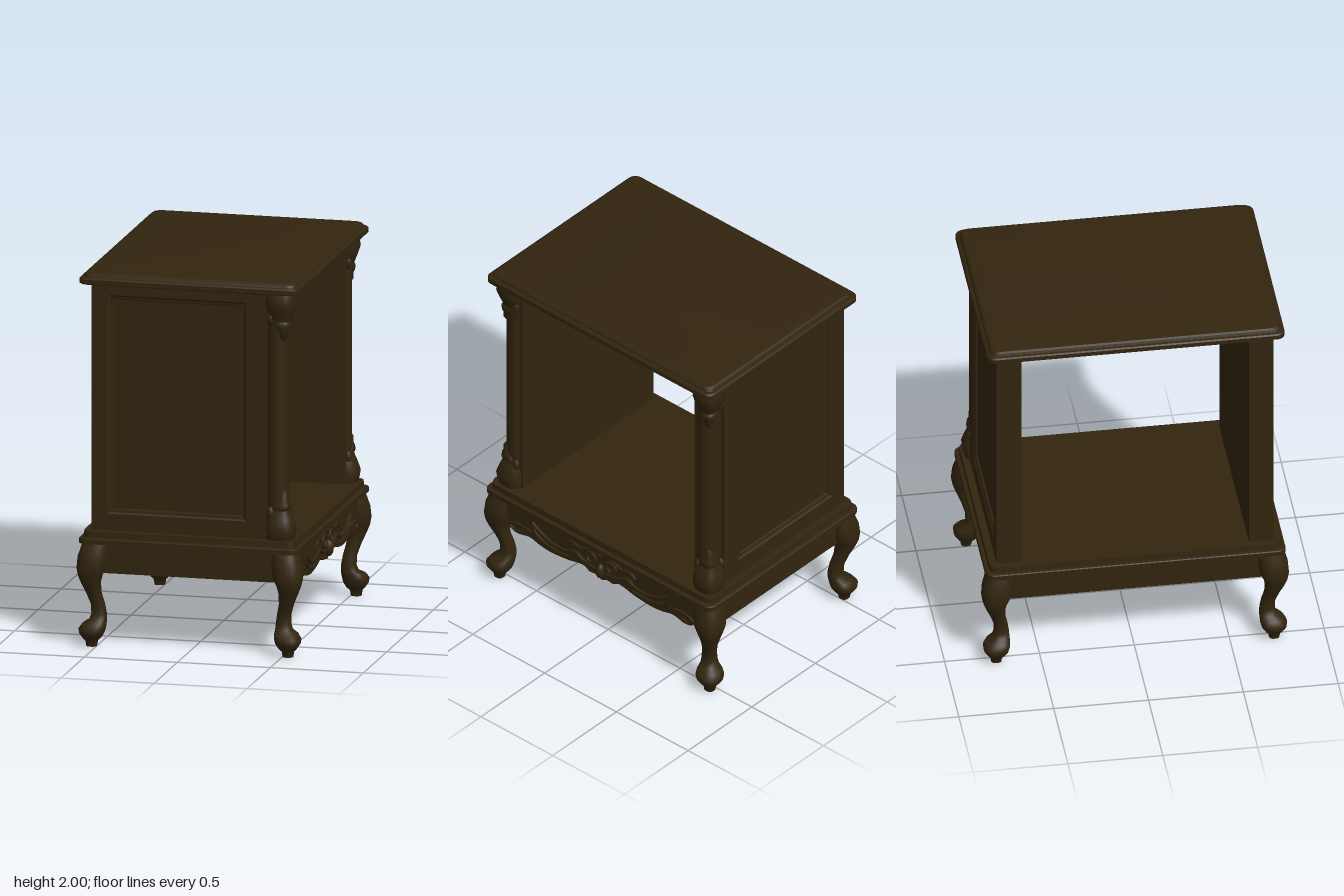
import * as THREE from 'three';
import { toCreasedNormals } from 'three/addons/utils/BufferGeometryUtils.js';

const wood = new THREE.MeshStandardMaterial({ color: 0x32250f });
wood.name = 'dark walnut';

function add(parent, name, geometry, x = 0, y = 0, z = 0) {
  const mesh = new THREE.Mesh(geometry, wood);
  mesh.name = name;
  mesh.position.set(x, y, z);
  parent.add(mesh);
  return mesh;
}

// Box given by its limits on each axis
function block(parent, name, x0, x1, y0, y1, z0, z1) {
  const g = new THREE.BoxGeometry(Math.abs(x1 - x0), y1 - y0, Math.abs(z1 - z0));
  return add(parent, name, g, (x0 + x1) / 2, (y0 + y1) / 2, (z0 + z1) / 2);
}

// Skin over a stack of rings, each a loop of [x, y, z]
function loft(rings, capped = true, crease = 0.7) {
  const n = rings[0].length, pos = rings.flat(2), index = [];
  for (let i = 0; i < rings.length - 1; i++) {
    for (let j = 0; j < n; j++) {
      const a = i * n + j, b = i * n + (j + 1) % n;
      index.push(a, b, b + n, a, b + n, a + n);
    }
  }
  if (capped) {
    const last = (rings.length - 1) * n;
    for (let j = 1; j < n - 1; j++) {
      index.push(0, j + 1, j, last, last + j, last + j + 1);
    }
  }
  const g = new THREE.BufferGeometry();
  g.setAttribute('position', new THREE.Float32BufferAttribute(pos, 3));
  g.setIndex(index);
  return toCreasedNormals(g, crease);
}

// Horizontal rounded rectangle
function roundedRing(y, hx, hz, r) {
  const ring = [];
  [[1, -1], [-1, -1], [-1, 1], [1, 1]].forEach(([sx, sz], q) => {
    for (let k = 0; k <= 5; k++) {
      const t = (q + k / 5) * Math.PI / 2;
      ring.push([sx * (hx - r) + r * Math.cos(t), y, sz * (hz - r) - r * Math.sin(t)]);
    }
  });
  return ring;
}

// Softly squared column following a corner; rows are [y, inner x, outer x]
function cornerLoft(rows, sx, sz, power) {
  const soft = v => Math.sign(v) * Math.pow(Math.abs(v), 2 / power);
  return loft(rows.map(([y, a, b]) => {
    const c = (a + b) / 2, h = (b - a) / 2;
    return Array.from({ length: 24 }, (_, i) => {
      const t = i / 24 * Math.PI * 2;
      return [sx * c + h * soft(Math.cos(t)), y, sz * (c + 0.205) - h * soft(Math.sin(t))];
    });
  }), true, 0.9);
}

// Recessed panel wall; s is the side along z
function buildWall(s) {
  const wall = new THREE.Group();
  wall.name = s > 0 ? 'frontWall' : 'backWall';
  block(wall, 'panelBoard', -0.53, 0.41, 0.62, 1.94, s * 0.60, s * 0.708);
  block(wall, 'backStile', -0.53, -0.44, 0.62, 1.94, s * 0.70, s * 0.73);
  block(wall, 'innerStile', 0.30, 0.41, 0.62, 1.94, s * 0.70, s * 0.73);
  block(wall, 'upperRail', -0.44, 0.30, 1.88, 1.94, s * 0.70, s * 0.73);
  block(wall, 'lowerRail', -0.44, 0.30, 0.62, 0.71, s * 0.70, s * 0.73);
  const rings = [[0, 0.73], [0.008, 0.722], [0.022, 0.72], [0.028, 0.705]].map(([d, z]) => {
    const r = [[-0.44 + d, 0.71 + d], [0.30 - d, 0.71 + d], [0.30 - d, 1.88 - d], [-0.44 + d, 1.88 - d]]
      .map(([x, y]) => [x, y, s * z]);
    return s > 0 ? r : r.reverse();
  });
  add(wall, 'panelMoulding', loft(rings, false, 0.1));
  return wall;
}

// Corner post with carved leaf capital and foot
const leafRows = [
  [1.68, 0.485, 0.505], [1.70, 0.475, 0.518], [1.735, 0.465, 0.52], [1.75, 0.45, 0.528],
  [1.775, 0.435, 0.532], [1.785, 0.43, 0.525], [1.80, 0.418, 0.53], [1.83, 0.408, 0.542],
  [1.88, 0.402, 0.558], [1.92, 0.402, 0.552], [1.945, 0.405, 0.545],
];
function buildPost(s) {
  const post = new THREE.Group();
  post.name = s > 0 ? 'frontPost' : 'backPost';
  block(post, 'postCore', 0.405, 0.50, 0.62, 1.94, s * 0.60, s * 0.71);
  add(post, 'postColumn', new THREE.CylinderGeometry(0.062, 0.062, 1.32, 24), 0.458, 1.28, s * 0.665);
  add(post, 'carvedCapital', cornerLoft(leafRows, 1, s, 2.8));
  const footRows = leafRows.map(([y, a, b]) => [2.56 - y, a, b]).reverse();
  add(post, 'carvedBase', cornerLoft(footRows, 1, s, 2.8));
  // leaf lobes on both outer faces
  for (const y of [1.80, 0.76]) {
    const lobes = [[0.43, 0.722], [0.508, 0.635]];
    for (const [x, z] of lobes) {
      const lobe = add(post, 'leafLobe', new THREE.SphereGeometry(0.02, 12, 8), x, y, s * z);
      lobe.scale.y = 1.8;
    }
  }
  return post;
}

// Curved leg with knee and ball foot
const legRows = [
  [0, 0.50, 0.555], [0.03, 0.495, 0.56], [0.045, 0.478, 0.575], [0.07, 0.462, 0.592],
  [0.095, 0.455, 0.595], [0.12, 0.453, 0.578], [0.14, 0.454, 0.545], [0.17, 0.456, 0.535],
  [0.22, 0.464, 0.537], [0.28, 0.478, 0.556], [0.34, 0.48, 0.582], [0.38, 0.47, 0.597],
  [0.42, 0.45, 0.605], [0.48, 0.443, 0.60], [0.53, 0.44, 0.585], [0.56, 0.44, 0.575],
];

// Carved apron with scalloped lower edge and scroll relief
function buildCarvedApron() {
  const apron = new THREE.Group();
  apron.name = 'carvedApron';
  const half = [[0, 0.36], [0.04, 0.375], [0.08, 0.372], [0.12, 0.39], [0.17, 0.385], [0.24, 0.37],
    [0.35, 0.36], [0.43, 0.368], [0.50, 0.383], [0.58, 0.367], [0.63, 0.378], [0.645, 0.40]];
  const edge = [...half.slice(1).reverse().map(([z, y]) => [-z, y]), ...half]
    .map(p => new THREE.Vector2(...p));
  const shape = new THREE.Shape();
  shape.moveTo(-0.66, 0.56);
  shape.lineTo(-0.645, 0.40);
  shape.splineThru(edge.slice(1));
  shape.lineTo(0.66, 0.56);
  shape.closePath();
  const board = new THREE.ExtrudeGeometry(shape, { depth: 0.03, bevelEnabled: false, curveSegments: 60 });
  add(apron, 'apronBoard', board.rotateY(Math.PI / 2), 0.525, 0, 0);

  const stroke = (name, pts, r) => {
    const curve = new THREE.CatmullRomCurve3(pts.map(([z, y]) => new THREE.Vector3(0, y, z)));
    add(apron, name, new THREE.TubeGeometry(curve, 28, r, 8), 0.554, 0, 0);
  };
  for (const s of [1, -1]) {
    const m = pts => pts.map(([z, y]) => [s * z, y]);
    stroke('crestScroll', m([[0, 0.51], [0.05, 0.525], [0.10, 0.51], [0.15, 0.495], [0.20, 0.505], [0.24, 0.48]]), 0.01);
    stroke('innerScroll', m([[0.04, 0.41], [0.12, 0.425], [0.18, 0.45], [0.25, 0.425], [0.34, 0.425], [0.42, 0.455], [0.48, 0.49]]), 0.012);
    stroke('leafScroll', m([[0.48, 0.49], [0.46, 0.44], [0.40, 0.405], [0.32, 0.39], [0.22, 0.395]]), 0.01);
    stroke('outerScroll', m([[0.48, 0.42], [0.53, 0.43], [0.59, 0.43], [0.635, 0.41], [0.61, 0.385], [0.56, 0.39]]), 0.01);
    const ring = add(apron, 'rosette', new THREE.TorusGeometry(0.032, 0.01, 8, 24), 0.556, 0.47, s * 0.07);
    ring.rotation.y = Math.PI / 2;
  }
  const knob = add(apron, 'centreBoss', new THREE.SphereGeometry(0.03, 16, 12), 0.56, 0.42, 0);
  knob.scale.set(1, 1.5, 0.8);
  return apron;
}

export function createModel() {
  const model = new THREE.Group();
  model.name = 'sideTable';

  // Moulded top and base: rows are [y, half width], depth follows
  const slab = (name, rows, extra) =>
    add(model, name, loft(rows.map(([y, h]) => roundedRing(y, h, h + extra, 0.045)), true, 0.3));
  slab('tableTop', [[1.94, 0.582], [1.945, 0.59], [1.968, 0.59], [1.975, 0.584], [1.978, 0.572],
    [1.99, 0.567], [1.997, 0.558], [2.0, 0.545]], 0.195);
  slab('baseMoulding', [[0.55, 0.57], [0.555, 0.59], [0.58, 0.59], [0.584, 0.585], [0.586, 0.57], [0.62, 0.568]], 0.2);
  block(model, 'ceilingBoard', -0.52, 0.50, 1.90, 1.945, -0.61, 0.61);

  // Plain aprons on three sides
  for (const s of [1, -1]) {
    block(model, 'endApron', -0.50, 0.50, 0.395, 0.56, s * 0.71, s * 0.745);
  }
  block(model, 'plainApron', -0.54, -0.51, 0.395, 0.56, -0.70, 0.70);
  model.add(buildCarvedApron());

  for (const sz of [1, -1]) {
    model.add(buildWall(sz), buildPost(sz));
    for (const sx of [1, -1]) add(model, 'leg', cornerLoft(legRows, sx, sz, 2.5));
  }
  return model;
}
